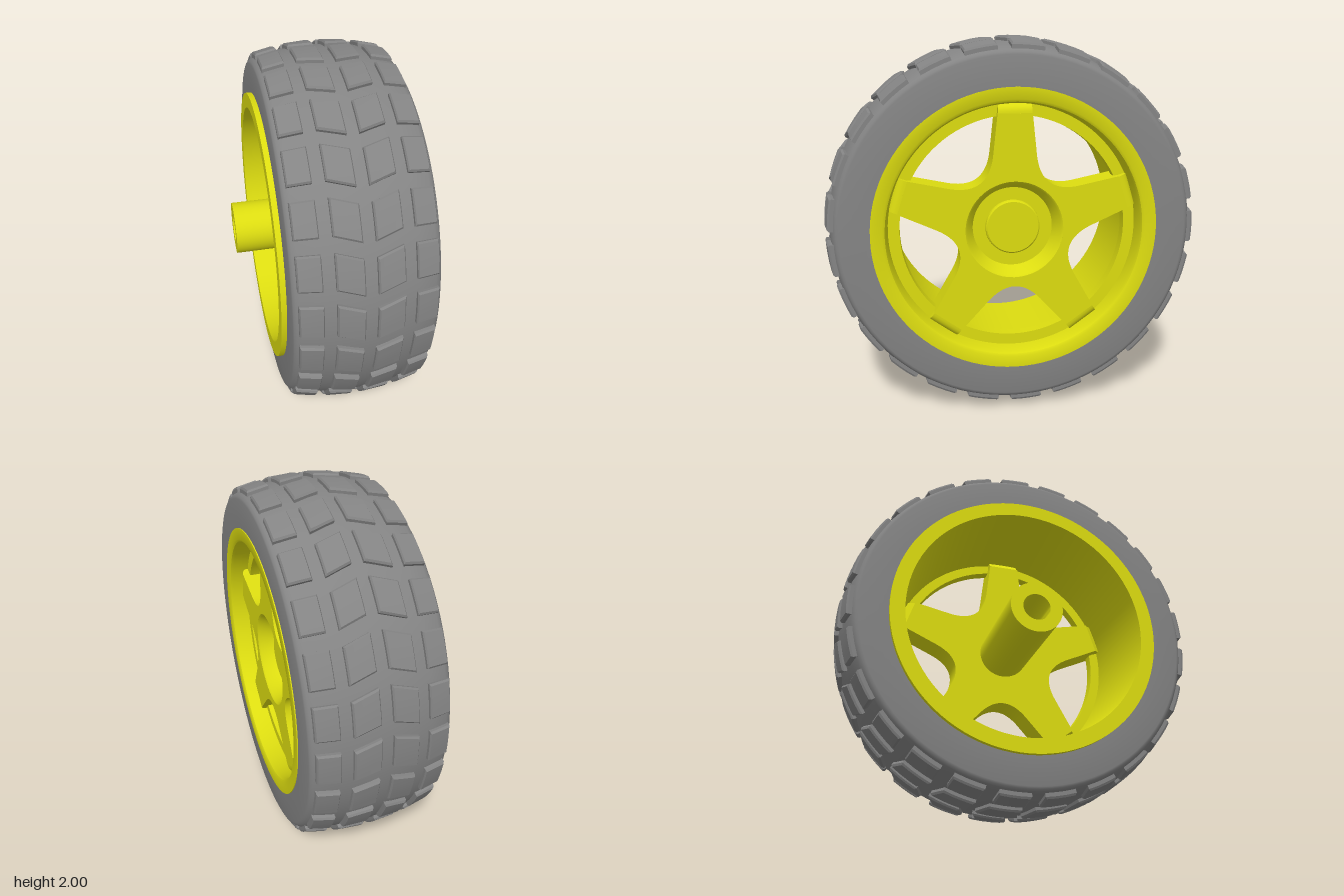
import * as THREE from 'three';
import { mergeGeometries, toCreasedNormals } from 'three/addons/utils/BufferGeometryUtils.js';

const MID = 0.08; // x of the tyre's centre plane
const crown = (x) => 1 - 0.4 * (x - MID) ** 2; // outer radius of the tread blocks

export function createModel() {
  const rubber = new THREE.MeshStandardMaterial({ color: 0x848484 });
  rubber.name = 'grey rubber';
  const plastic = new THREE.MeshStandardMaterial({ color: 0xdcdc10 });
  plastic.name = 'yellow plastic';

  const wheel = new THREE.Group();
  wheel.name = 'wheel';
  wheel.position.y = 1;

  const add = (name, geometry, material) => {
    const mesh = new THREE.Mesh(geometry, material);
    mesh.name = name;
    wheel.add(mesh);
    return mesh;
  };

  // Turns a profile of [radius, x] points around the x axis
  const turned = (points, segments = 96) => {
    const g = new THREE.LatheGeometry(points.map((p) => new THREE.Vector2(...p)), segments);
    g.rotateZ(-Math.PI / 2);
    return toCreasedNormals(g, 0.6);
  };

  // Tyre carcass with a crowned tread surface
  const tyre = [[0.73, -0.275], [0.9, -0.275], [0.912, -0.271], [0.922, -0.26]];
  for (let i = 0; i <= 8; i++) {
    const x = MID - 0.32 + i * 0.08;
    tyre.push([crown(x) - 0.025, x]);
  }
  tyre.push([0.922, 0.42], [0.912, 0.431], [0.9, 0.435], [0.73, 0.435]);
  add('tyre', turned(tyre), rubber);

  // Tread: four columns of bevelled blocks, the inner two slanted into a V
  const columns = [
    { x: -0.195, width: 0.112, skew: 0, shift: 0 },
    { x: -0.015, width: 0.13, skew: 0.043, shift: 0.02 },
    { x: 0.175, width: 0.13, skew: -0.043, shift: 0.02 },
    { x: 0.355, width: 0.112, skew: 0, shift: 0 },
  ];
  const treadBlock = ({ x, width, skew, shift }, angle) => {
    const g = new THREE.BoxGeometry(1, 1, 1, 1, 2, 3);
    const p = g.attributes.position;
    for (let i = 0; i < p.count; i++) {
      const level = p.getY(i);
      const inset = level > 0.4 ? 0.9 : 1;
      const u = p.getX(i) * inset;
      const v = p.getZ(i) * inset;
      const px = x + u * width;
      const drop = level > 0.4 ? 0 : level > -0.1 ? 0.009 : 0.04;
      const r = crown(px) - drop;
      const a = angle + shift + u * skew + v * 0.178;
      p.setXYZ(i, px, r * Math.cos(a), r * Math.sin(a));
    }
    return toCreasedNormals(g, 0.4);
  };
  const COUNT = 25;
  const step = (Math.PI * 2) / COUNT;
  const blocks = [];
  for (let k = 0; k < COUNT; k++) {
    for (const column of columns) {
      blocks.push(treadBlock(column, Math.PI / 2 - (k + 0.5) * step));
    }
  }
  add('treadBlocks', mergeGeometries(blocks), rubber);

  // Rim barrel with a ledge inside its outer mouth
  add('rim', turned([
    [0.745, -0.303], [0.745, 0.44], [0.685, 0.44], [0.672, 0.432], [0.665, 0.415], [0.66, 0.33],
    [0.6, 0.33], [0.6, 0.27], [0.655, 0.27], [0.665, -0.303], [0.745, -0.303],
  ]), plastic);

  // Five-armed spoke star, filleted between the arms
  const FRONT = 0.37;
  const BACK = 0.2;
  const arm = Math.PI * 2 / 5;
  const star = new THREE.Shape();
  const at = (k, side, out) => {
    const a = Math.PI / 2 + k * arm;
    return [
      out * Math.cos(a) - side * Math.sin(a),
      out * Math.sin(a) + side * Math.cos(a),
    ];
  };
  for (let k = 0; k < 5; k++) {
    if (k === 0) star.moveTo(...at(k, -0.09, 0.61));
    else star.lineTo(...at(k, -0.09, 0.61));
    star.lineTo(...at(k, 0.09, 0.61));
    star.lineTo(...at(k, 0.113, 0.4));
    star.quadraticCurveTo(...at(k + 0.5, 0, 0.232), ...at(k + 1, -0.113, 0.4));
  }
  star.closePath();
  const hole = new THREE.Path();
  hole.absarc(0, 0, 0.26, 0, Math.PI * 2, true);
  star.holes.push(hole);
  const starGeometry = new THREE.ExtrudeGeometry(star, {
    depth: FRONT - BACK, bevelEnabled: false, curveSegments: 24,
  });
  starGeometry.rotateY(Math.PI / 2).translate(BACK, 0, 0);
  add('spokes', toCreasedNormals(starGeometry, 0.5), plastic);

  // Rounded arm ends that drop onto the rim ledge
  const end = new THREE.Shape();
  end.moveTo(0.605, BACK);
  end.lineTo(0.66, 0.25);
  end.lineTo(0.663, 0.32);
  end.quadraticCurveTo(0.655, FRONT, 0.605, FRONT);
  end.closePath();
  const turn = new THREE.Matrix4().makeBasis(
    new THREE.Vector3(0, 1, 0), new THREE.Vector3(1, 0, 0), new THREE.Vector3(0, 0, -1));
  for (let k = 0; k < 5; k++) {
    const g = new THREE.ExtrudeGeometry(end, { depth: 0.176, bevelEnabled: false, curveSegments: 6 });
    g.translate(0, 0, -0.088).applyMatrix4(turn).rotateX(k * arm);
    add('spokeEnd', toCreasedNormals(g, 0.5), plastic);
  }

  // Hub: bored axle tube at the back, dished cup and centre boss at the front
  add('hub', turned([
    [0, -0.12], [0.075, -0.12], [0.075, -0.445], [0.143, -0.445], [0.143, BACK], [0.27, BACK],
    [0.27, 0.36], [0.26, FRONT], [0.25, 0.362], [0.215, 0.285], [0.147, 0.285], [0.145, 0.3],
    [0.138, 0.306], [0, 0.306],
  ], 64), plastic);

  // Flat key inside the bore
  const key = add('boreFlat', new THREE.BoxGeometry(0.28, 0.03, 0.1), plastic);
  key.position.set(-0.26, -0.065, 0);

  return new THREE.Group().add(wheel);
}
